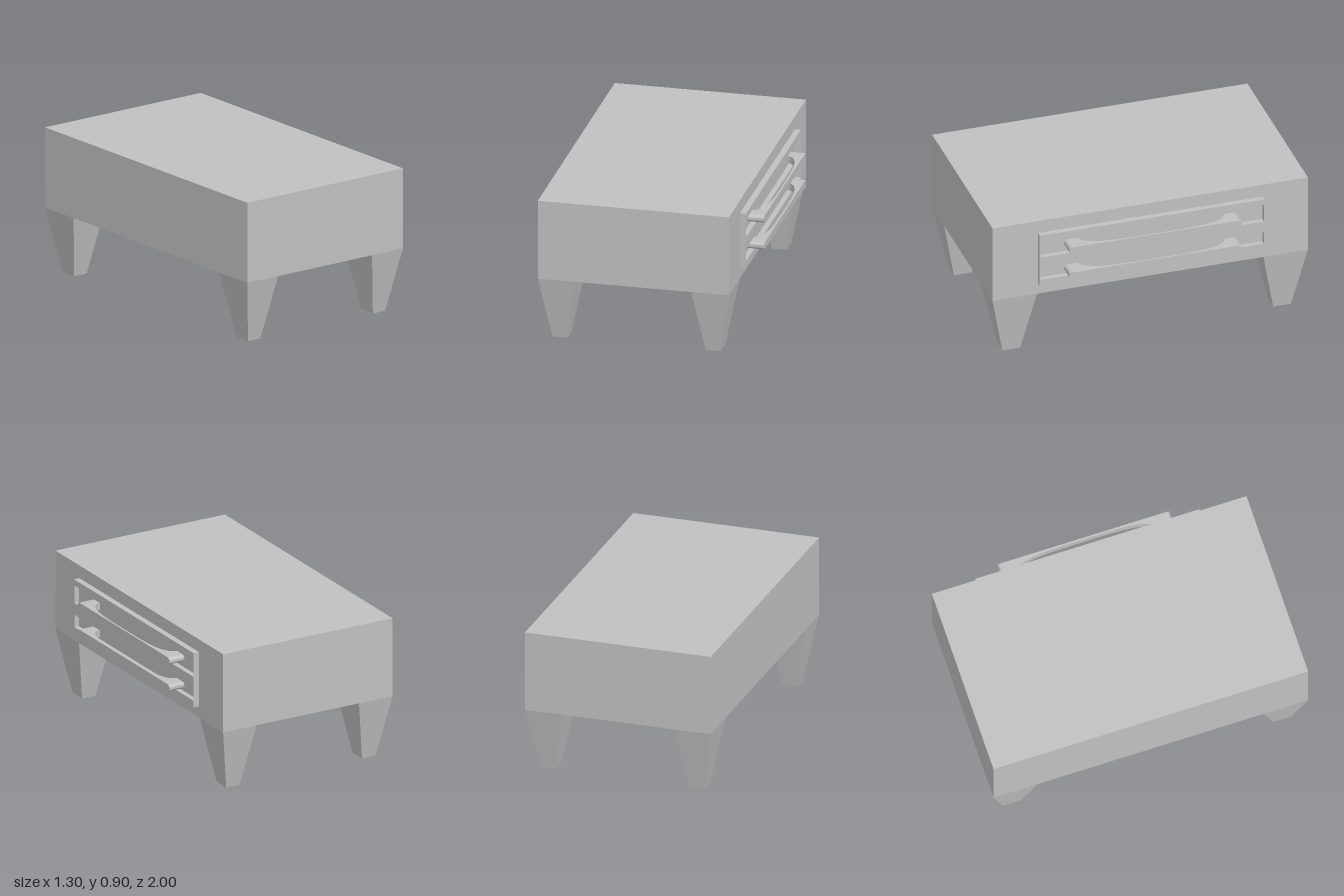
import * as THREE from 'three';
import { toCreasedNormals } from 'three/addons/utils/BufferGeometryUtils.js';

const CX = -0.055; // body centre in x; the drawer front fills the rest
const FACE = 0.538; // side of the body that carries the drawers

// Moves every vertex of a geometry by a rule
function reshape(geometry, rule) {
  const pos = geometry.attributes.position;
  const v = new THREE.Vector3();
  for (let i = 0; i < pos.count; i++) {
    rule(v.fromBufferAttribute(pos, i));
    pos.setXYZ(i, v.x, v.y, v.z);
  }
  return geometry;
}

// Bar handle: rounded ends in elevation, scooped out behind
function handleGeometry() {
  const half = 0.548, r = 0.023, front = 0.648, scoop = 0.46, base = FACE;
  const stops = [];
  for (let i = 0; i <= 6; i++) stops.push(half - r * (1 - Math.sin((i / 6) * Math.PI / 2 )));
  const zs = stops.map((z) => z).reverse(); // outer end first
  for (let i = 0; i <= 16; i++) zs.push(scoop * Math.cos((i / 16) * Math.PI / 2));
  const all = [...zs.map((z) => -z), ...zs.slice(0, -1).reverse()];
  const n = all.length - 1;
  const geo = reshape(new THREE.BoxGeometry(2, 2, n, 1, 1, n), (v) => {
    const z = all[Math.round(v.z + n / 2)];
    const a = Math.abs(z);
    const d = Math.max(0, a - (half - r));
    const h = Math.max(0.002, Math.sqrt(Math.max(0, r * r - d * d)));
    const s = Math.min(1, a / scoop);
    const back = a > scoop ? base : base + (0.637 - base) * Math.pow(1 - Math.pow(s, 4), 0.4);
    v.set(v.x > 0 ? front : back, Math.sign(v.y) * h, z);
  });
  geo.computeVertexNormals();
  return toCreasedNormals(geo, 0.7);
}

export function createModel() {
  const group = new THREE.Group();
  const grey = new THREE.MeshStandardMaterial({ color: 0xc0c0c0 });
  grey.name = 'light grey';

  const add = (name, geometry, x, y, z) => {
    const mesh = new THREE.Mesh(geometry, grey);
    mesh.name = name;
    mesh.position.set(x, y, z);
    group.add(mesh);
  };

  // Main block
  add('body', new THREE.BoxGeometry(1.186, 0.505, 2), CX, 0.6525, 0);

  // Four legs tapering to the floor
  const leg = reshape(new THREE.BoxGeometry(0.235, 0.4, 0.282), (v) => {
    if (v.y < 0) { v.x *= 0.4; v.z *= 0.4; }
  }).toNonIndexed();
  leg.computeVertexNormals();
  for (const sx of [-1, 1]) {
    for (const sz of [-1, 1]) add('leg', leg, CX + sx * 0.4755, 0.2, sz * 0.859);
  }

  // Drawer surround: three rails closed by thin end plates
  const depth = 0.038, x = FACE + depth / 2;
  for (const [y0, y1] of [[0.472, 0.515], [0.595, 0.67], [0.785, 0.823]]) {
    add('drawerRail', new THREE.BoxGeometry(depth, y1 - y0, 1.424), x, (y0 + y1) / 2, 0);
  }
  for (const s of [-1, 1]) {
    add('drawerEndPlate', new THREE.BoxGeometry(depth, 0.351, 0.004), x, 0.6475, s * 0.711);
  }

  // Recessed drawer fronts and their handles
  const handle = handleGeometry();
  for (const [y0, y1, yh] of [[0.515, 0.595, 0.551], [0.67, 0.785, 0.725]]) {
    add('drawerFront', new THREE.BoxGeometry(0.006, y1 - y0, 1.418), FACE + 0.003, (y0 + y1) / 2, 0);
    add('handle', handle, 0, yh, 0);
  }
  return group;
}
